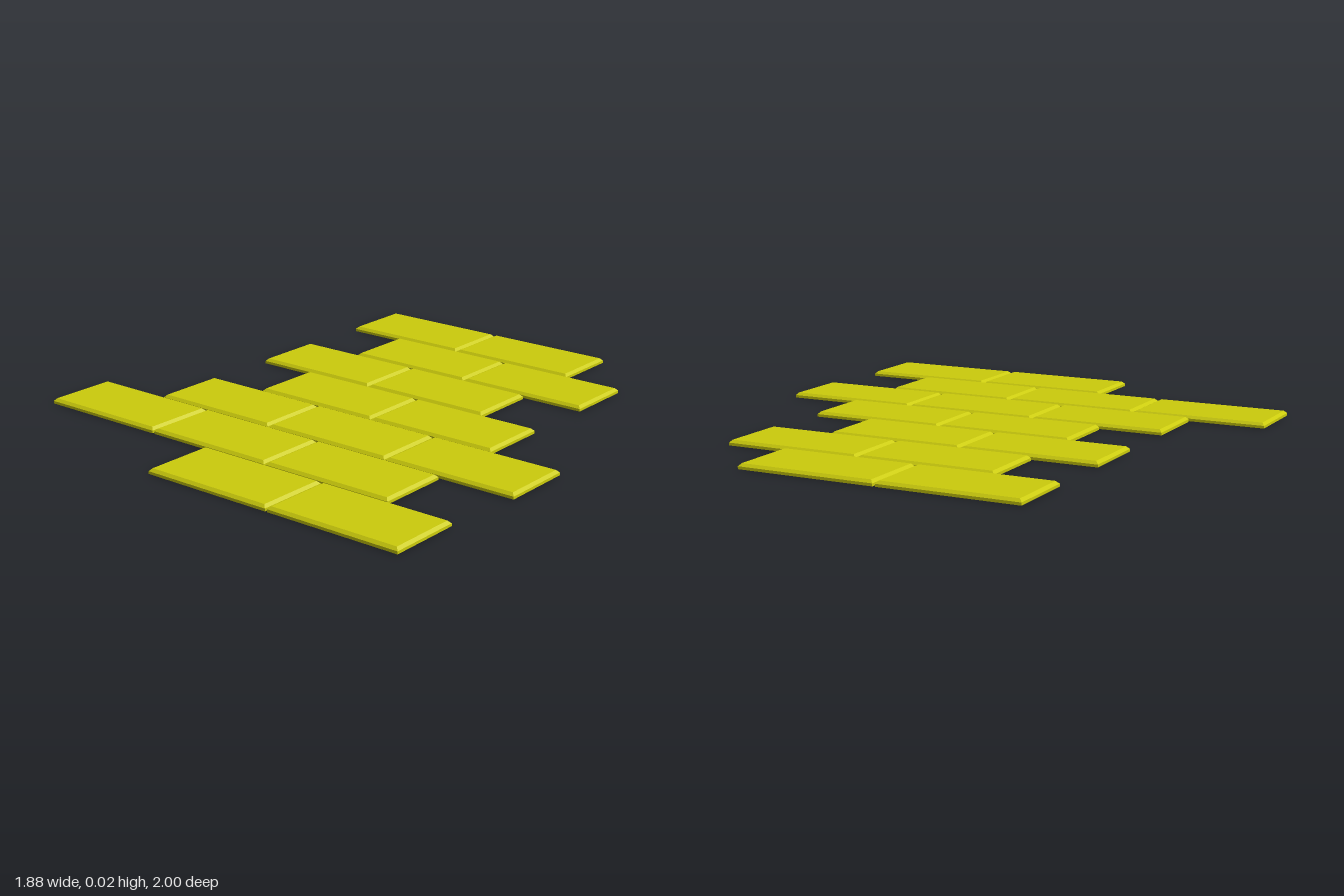
import * as THREE from 'three';

const WIDTH = 0.522, DEPTH = 0.275, HEIGHT = 0.02, BEVEL = 0.01;
const PITCH_X = 0.532, PITCH_Z = 0.2875;

// Flat slab with straight lower sides and a chamfered top edge
function makeTileGeometry() {
  const box = new THREE.BoxGeometry(WIDTH, HEIGHT, DEPTH, 1, 2, 1);
  box.translate(0, HEIGHT / 2, 0);
  const p = box.attributes.position;
  for (let i = 0; i < p.count; i++) {
    if (p.getY(i) > HEIGHT * 0.9) {
      p.setX(i, p.getX(i) - Math.sign(p.getX(i)) * BEVEL);
      p.setZ(i, p.getZ(i) - Math.sign(p.getZ(i)) * BEVEL);
    }
  }
  const geometry = box.toNonIndexed();
  geometry.computeVertexNormals();
  return geometry;
}

export function createModel() {
  const model = new THREE.Group();
  model.name = 'brickPaving';
  const material = new THREE.MeshStandardMaterial({ color: 0xcccc0c, flatShading: true });
  const geometry = makeTileGeometry();

  // Rows from back to front: centre x of the first tile, number of tiles
  const rows = [
    [-0.39, 2], [-0.147, 2], [-0.39, 2], [-0.147, 2],
    [-0.388, 3], [-0.68, 3], [0.116, 2],
  ];
  rows.forEach(([startX, count], r) => {
    const row = new THREE.Group();
    row.name = `tileRow${r + 1}`;
    row.position.z = (r - 3) * PITCH_Z;
    for (let i = 0; i < count; i++) {
      const tile = new THREE.Mesh(geometry, material);
      tile.name = `tile${i + 1}`;
      tile.position.x = startX + i * PITCH_X;
      row.add(tile);
    }
    model.add(row);
  });
  return model;
}
